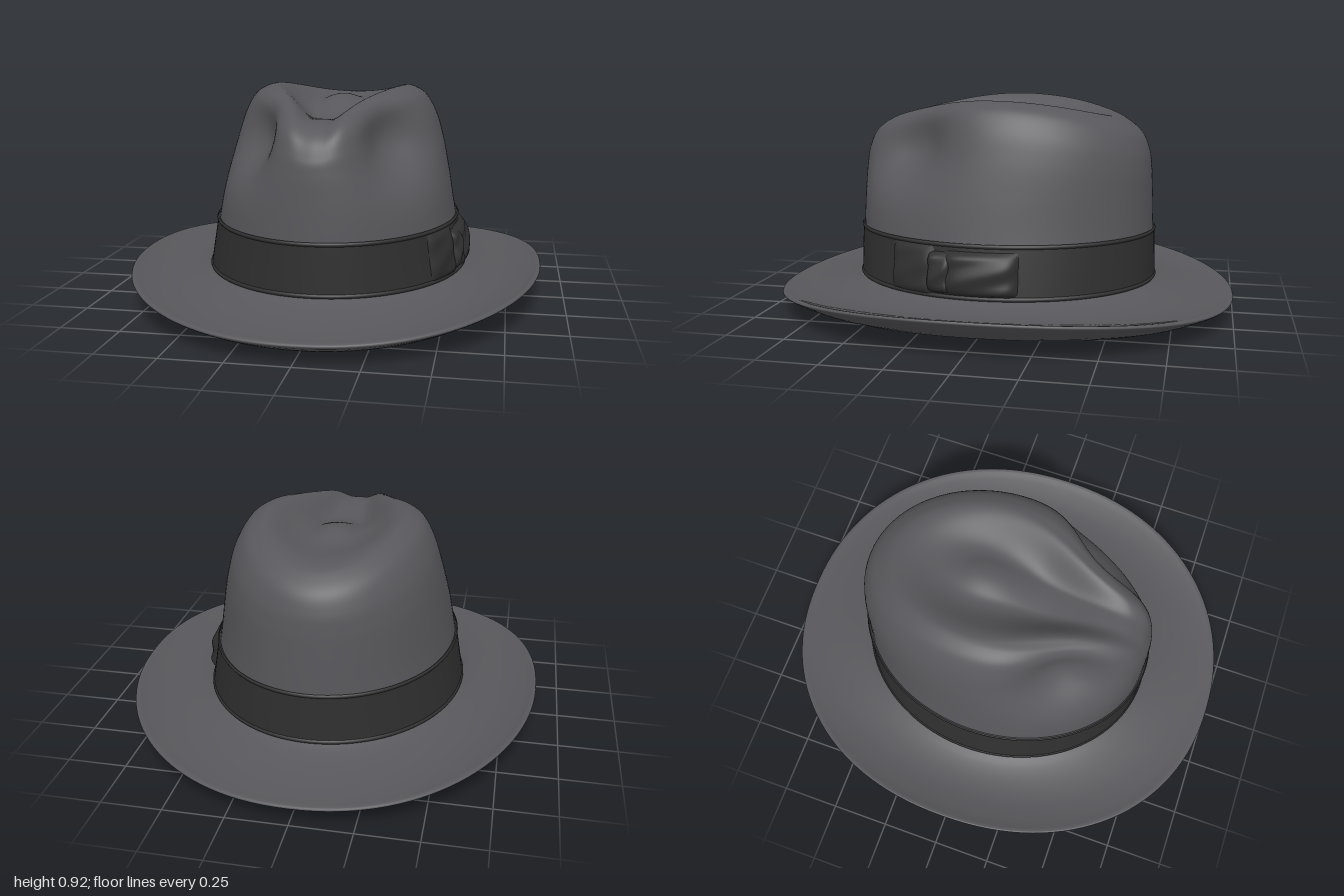
import * as THREE from 'three';
import { mergeVertices } from 'three/addons/utils/BufferGeometryUtils.js';

const felt = new THREE.MeshStandardMaterial({ color: 0x58585c, side: THREE.DoubleSide });
felt.name = 'grey felt';
const ribbon = new THREE.MeshStandardMaterial({ color: 0x2f2f30, side: THREE.DoubleSide });
ribbon.name = 'dark ribbon';

const { lerp, smoothstep } = THREE.MathUtils;
const TAU = Math.PI * 2;

// Grid surface from f(u, v) -> [x, y, z]; welded so that seams and poles stay smooth
function surface(nu, nv, f) {
  const pos = [], index = [];
  for (let i = 0; i <= nu; i++)
    for (let j = 0; j <= nv; j++) pos.push(...f(i / nu, j / nv));
  for (let i = 0; i < nu; i++)
    for (let j = 0; j < nv; j++) {
      const a = i * (nv + 1) + j, b = a + nv + 1;
      index.push(a, b, a + 1, b, b + 1, a + 1);
    }
  const g = new THREE.BufferGeometry();
  g.setAttribute('position', new THREE.Float32BufferAttribute(pos, 3));
  g.setIndex(index);
  const welded = mergeVertices(g, 1e-5);
  welded.computeVertexNormals();
  return welded;
}

// Point on an ellipse, or on a squarer superellipse when n is over 2
function oval(rx, rz, angle, n = 2) {
  const c = Math.cos(angle), s = Math.sin(angle);
  return [rx * Math.sign(c) * Math.abs(c) ** (2 / n), rz * Math.sign(s) * Math.abs(s) ** (2 / n)];
}

// Crown profile: half width, half length, height
const crownCurve = new THREE.CatmullRomCurve3([
  [.56, .652, .12], [.542, .65, .25], [.52, .648, .37], [.488, .643, .55], [.455, .638, .7],
  [.42, .628, .81], [.375, .6, .885], [.325, .54, .917], [.27, .445, .925],
  [.18, .295, .926], [.09, .147, .926], [0, 0, .926],
].map(p => new THREE.Vector3(...p)));

function crownPoint(u, v) {
  const p = crownCurve.getPoint(u);
  let [x, z] = oval(Math.max(p.x, 0), Math.max(p.y, 0), v * TAU);
  let y = p.z;
  // upper crown is fuller behind than in front
  x *= 1 - .13 * z * smoothstep(y, .4, .8);
  // top slopes down to the front and back
  y -= .33 * z * z * smoothstep(y, .45, .93);
  // teardrop crease: rounded behind, narrowing to the front
  const zc = -.08;
  const w = lerp(.3, .11, smoothstep(z, zc, .58));
  const r = z < zc ? Math.hypot(x / .3, (z - zc) / .45) : Math.abs(x) / w;
  const top = smoothstep(p.z, .72, .88);
  const depth = lerp(.135, .025, smoothstep(z, .1, .56));
  y -= top * depth * (1 - smoothstep(r, .25, 1));
  // raised island inside the teardrop
  y += top * .09 * Math.exp(-((x / .155) ** 2) - ((z + .14) / .24) ** 2);
  // pinches on both sides of the front
  const side = Math.sign(x);
  const d2 = ((Math.abs(x) - .33) / .15) ** 2 + ((y - .75) / .165) ** 2 + ((z - .39) / .22) ** 2;
  const push = .125 * Math.exp(-d2);
  return [x - side * push * .75, y - push * .25, z - push * .6];
}

// Brim section: position (0 crown, 1 rim), height at the sides, height at front and back
const underside = [[-.17, .14, .14], [-.155, .11, .105], [-.05, .085, .07], [.2, .066, .033], [.5, .05, .002]];
const lip = [[.5, .05, .002], [.7, .083, .024], [.9, .128, .056], [.98, .148, .072], [1, .156, .08],
  [.99, .163, .087], [.95, .161, .09]];
const topSide = [[.95, .161, .09], [.85, .147, .09], [.6, .126, .097], [.35, .123, .112], [.15, .133, .13],
  [.04, .147, .145], [-.04, .16, .16]];

function brimSection(points) {
  const curve = new THREE.CatmullRomCurve3(points.map(p => new THREE.Vector3(...p)));
  return surface(18, 128, (u, v) => {
    const p = curve.getPoint(u);
    const n = 2 + .14 * Math.max(p.x, 0);
    const [x, z] = oval(lerp(.56, .895, p.x), lerp(.65, 1, p.x), v * TAU, n);
    return [x, lerp(p.y, p.z, Math.sin(v * TAU) ** 2), z];
  });
}

// Strip wrapped round the crown: heights, angles, and offset out(u, v)
function wrap(y0, y1, a0, a1, out, nu = 12, nv = 128) {
  return surface(nu, nv, (u, v) => {
    const y = lerp(y0, y1, u), k = (y - .155) / .215, o = out(u, v);
    const [x, z] = oval(lerp(.564, .527, k) + o, lerp(.66, .654, k) + o, lerp(a0, a1, v));
    return [x, y, z];
  });
}

// Offset of a pillowed cloth loop
const pillow = h => (u, v) =>
  h * (1 - (2 * u - 1) ** 6) * (1 - (2 * v - 1) ** 6) * (1 + .15 * Math.sin(u * 11 + v * 5)) - .002;

export function createModel() {
  const hat = new THREE.Group();
  hat.name = 'hat';
  const add = (name, geometry, material, parent = hat) => {
    const mesh = new THREE.Mesh(geometry, material);
    mesh.name = name;
    parent.add(mesh);
  };

  add('crown', surface(96, 128, crownPoint), felt);

  // Brim in three smooth faces with crisp edges between them
  const brim = new THREE.Group();
  brim.name = 'brim';
  hat.add(brim);
  add('brimUnderside', brimSection(underside), felt, brim);
  add('brimLip', brimSection(lip), felt, brim);
  add('brimTop', brimSection(topSide), felt, brim);

  // Ribbon band with rolled edges
  const roll = u => .005 * Math.sin(Math.PI * u);
  add('band', wrap(.15, .37, 0, TAU, u => (u < .01 || u > .99 ? -.012 : 0), 24), ribbon);
  add('bandLowerEdge', wrap(.15, .167, 0, TAU, roll, 6), ribbon);
  add('bandUpperEdge', wrap(.355, .372, 0, TAU, roll, 6), ribbon);

  // Bow on the left side
  const bow = new THREE.Group();
  bow.name = 'bow';
  hat.add(bow);
  add('bowFrontLoop', wrap(.158, .358, .3, .64, pillow(.02), 16, 16), ribbon, bow);
  add('bowBackLoop', wrap(.165, .342, -.24, .24, pillow(.036), 16, 20), ribbon, bow);
  add('bowKnot', wrap(.17, .335, .17, .34, pillow(.034), 16, 12), ribbon, bow);

  // Inner sweatband and the folded rings below it
  add('sweatband', wrap(.23, .34, 0, TAU, () => -.036), ribbon);
  for (let i = 0; i < 3; i++) {
    const y = .135 + i * .036;
    add('innerFold', surface(10, 96, (u, v) => {
      const bulge = .014 * Math.cos(u * TAU);
      const [x, z] = oval(.518 + bulge, .608 + bulge, v * TAU);
      return [x, y + .018 * Math.sin(u * TAU), z];
    }), felt);
  }

  return hat;
}
